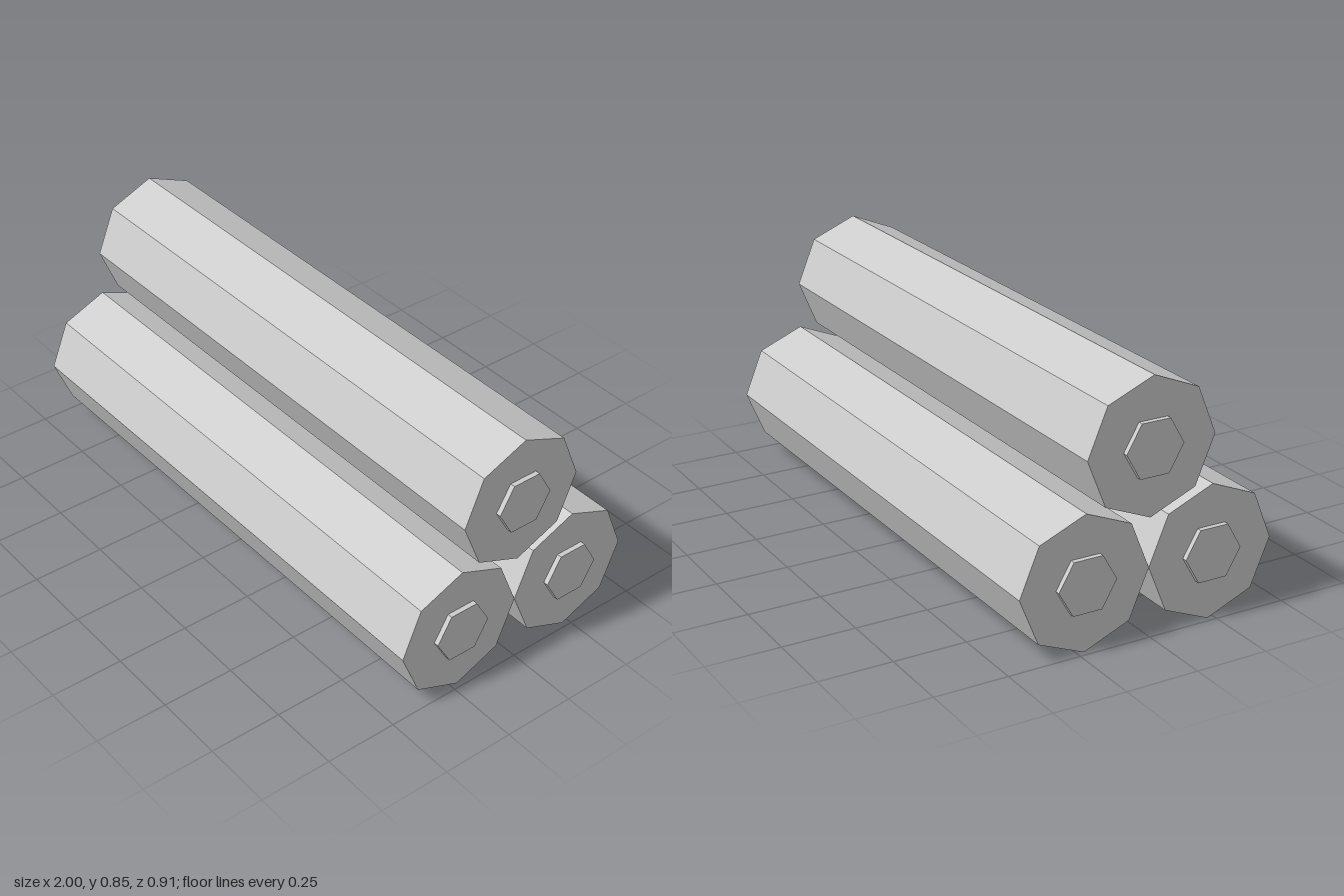
import * as THREE from 'three';

export function createModel() {
  const model = new THREE.Group();
  model.name = 'stackedLogs';

  const grey = new THREE.MeshStandardMaterial({ color: 0xcccccc, flatShading: true });
  grey.name = 'light grey';

  // Prism lying along x, with a corner pointing to +z
  const prism = (radius, length, sides) =>
    new THREE.CylinderGeometry(radius, radius, length, sides).rotateZ(Math.PI / 2);

  const R = 0.227;
  const bodyLength = 1.966;
  const plugLength = 0.017;
  const bodyGeometry = prism(R, bodyLength, 8);
  const plugGeometry = prism(0.102, plugLength, 6);

  function addPart(parent, name, geometry, x) {
    const mesh = new THREE.Mesh(geometry, grey);
    mesh.name = name;
    mesh.position.x = x;
    parent.add(mesh);
  }

  // Two logs side by side, one resting above the gap: [name, y, z]
  const logs = [
    ['frontLog', R, R],
    ['backLog', R, -R],
    ['topLog', 0.619, 0],
  ];
  for (const [name, y, z] of logs) {
    const log = new THREE.Group();
    log.name = name;
    log.position.set(0, y, z);
    addPart(log, 'body', bodyGeometry, 0);
    // Raised hexagonal core on each end
    for (const side of [1, -1]) {
      addPart(log, side > 0 ? 'leftCore' : 'rightCore', plugGeometry, side * (bodyLength + plugLength) / 2);
    }
    model.add(log);
  }
  return model;
}
